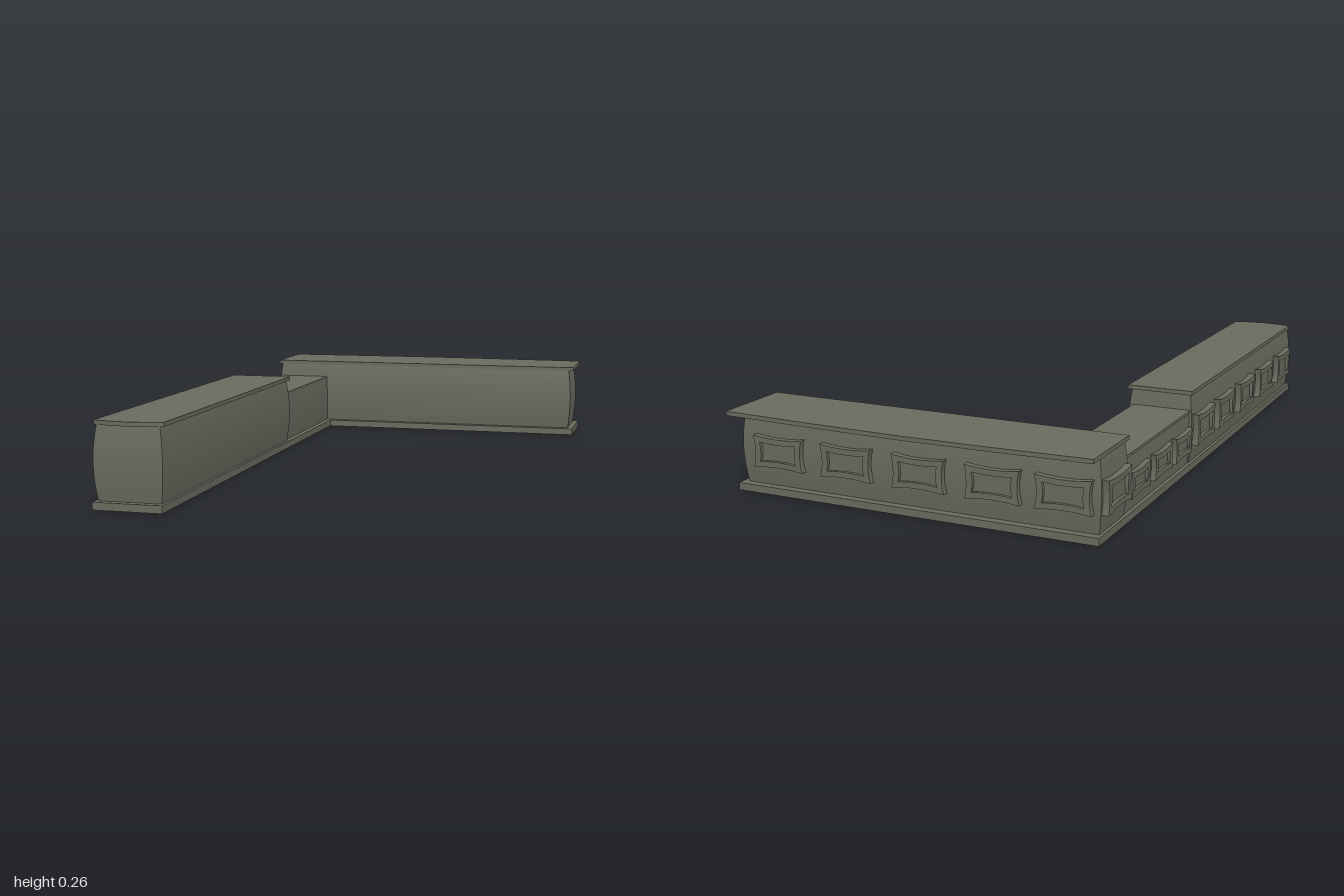
import * as THREE from 'three';

export function createModel() {
  const root = new THREE.Group();
  root.name = 'cornerCounter';
  const stone = new THREE.MeshStandardMaterial({ color: 0x6b6a5f });
  stone.name = 'greyOlive';

  const add = (name, geometry, parent = root) => {
    const mesh = new THREE.Mesh(geometry, stone);
    mesh.name = name;
    parent.add(mesh);
    return mesh;
  };

  // Counter block whose sides swell gently at mid height
  function block(name, x0, x1, y0, y1, z0, z1, bulge = 0.009) {
    const g = new THREE.BoxGeometry(x1 - x0, y1 - y0, z1 - z0, 1, 10, 1);
    const p = g.attributes.position;
    for (let i = 0; i < p.count; i++) {
      const t = p.getY(i) / (y1 - y0) * 2;
      const b = bulge * (1 - t * t);
      p.setX(i, p.getX(i) + Math.sign(p.getX(i)) * b);
      p.setZ(i, p.getZ(i) + Math.sign(p.getZ(i)) * b);
    }
    g.computeVertexNormals();
    add(name, g).position.set((x0 + x1) / 2, (y0 + y1) / 2, (z0 + z1) / 2);
  }

  // Horizontal slab from a plan outline of [x, z] points
  function slab(name, points, y0, y1) {
    const shape = new THREE.Shape(points.map(([x, z]) => new THREE.Vector2(x, -z)));
    const g = new THREE.ExtrudeGeometry(shape, { depth: y1 - y0, bevelEnabled: false });
    g.rotateX(-Math.PI / 2);
    add(name, g).position.y = y0;
  }

  // Rectangle outline with sides curving inward between flared corners
  function flared(Path, w, h, dip) {
    const s = new Path();
    s.moveTo(-w, -h);
    s.quadraticCurveTo(0, -h + dip, w, -h);
    s.quadraticCurveTo(w - dip, 0, w, h);
    s.quadraticCurveTo(0, h - dip, -w, h);
    s.quadraticCurveTo(-w + dip, 0, -w, -h);
    return s;
  }

  // Raised frame around a shallow field, facing +z before turning
  function panel(x, y, z, turn, w = 0.17, h = 0.1, depth = 0.026) {
    const group = new THREE.Group();
    group.name = 'panel';
    const frame = flared(THREE.Shape, w / 2, h / 2, 0.013);
    frame.holes.push(flared(THREE.Path, w / 2 - 0.022, h / 2 - 0.02, 0.008));
    const extrude = (s, d) => new THREE.ExtrudeGeometry(s, { depth: d, bevelEnabled: false, curveSegments: 6 });
    add('panelFrame', extrude(frame, depth), group);
    add('panelField', extrude(flared(THREE.Shape, w / 2 - 0.018, h / 2 - 0.016, 0.008), depth * 0.6), group);
    group.position.set(x, y, z);
    group.rotation.y = turn;
    root.add(group);
  }

  // L-shaped plinth
  slab('plinth', [[-0.582, 1], [-0.368, 1], [-0.368, -0.708], [0.596, -0.708],
    [0.596, -0.936], [-0.582, -0.936]], 0, 0.023);

  // Long arm, low pass-through, corner and back wing
  block('longArmBody', -0.572, -0.378, 0.023, 0.244, 0.02, 0.978);
  block('longArmEndBody', -0.572, -0.378, 0.023, 0.244, -0.172, 0.02);
  block('lowCounterBody', -0.57, -0.388, 0.023, 0.193, -0.73, -0.182, 0.004);
  block('cornerBody', -0.572, -0.37, 0.023, 0.244, -0.91, -0.733);
  block('backWingBody', -0.37, 0.576, 0.023, 0.244, -0.91, -0.733);

  // Countertops
  slab('longArmTop', [[-0.58, -0.18], [-0.58, 0.977], [-0.53, 0.99], [-0.473, 0.996],
    [-0.416, 0.99], [-0.366, 0.977], [-0.366, -0.18]], 0.244, 0.257);
  slab('backWingTop', [[-0.584, -0.727], [0.594, -0.727], [0.594, -0.982], [0.3, -0.994],
    [0, -1], [-0.3, -0.994], [-0.584, -0.982]], 0.244, 0.257);
  slab('lowCounterTop', [[-0.576, -0.182], [-0.386, -0.182], [-0.386, -0.728],
    [-0.576, -0.728]], 0.187, 0.196);

  // Panels along the outer side
  const side = -Math.PI / 2;
  for (const z of [-0.828, -0.083, 0.133, 0.368, 0.608, 0.846]) panel(-0.574, 0.13, z, side);
  for (const z of [-0.64, -0.45, -0.27]) panel(-0.57, 0.105, z, side, 0.15, 0.08, 0.02);
  // Panels along the back
  for (const x of [-0.475, -0.26, -0.025, 0.215, 0.45]) panel(x, 0.13, -0.911, Math.PI);

  return root;
}
